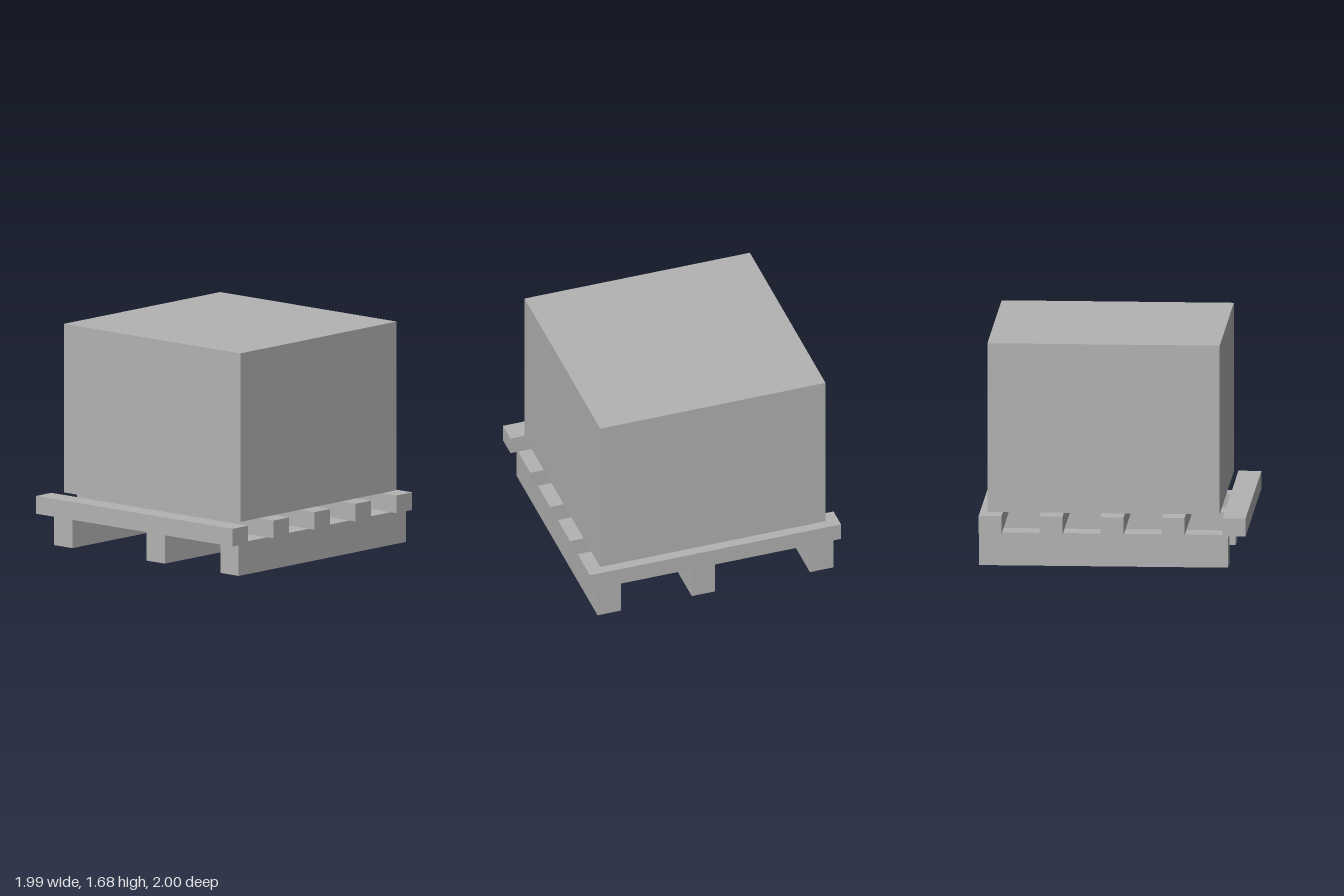
import * as THREE from 'three';

export function createModel() {
  const model = new THREE.Group();
  model.name = 'loadedPallet';

  const grey = new THREE.MeshStandardMaterial({ color: 0xb3b3b3 });
  grey.name = 'plain grey';

  // Adds a box given its extents along each axis
  function block(name, [x0, x1], [y0, y1], [z0, z1], parent) {
    const mesh = new THREE.Mesh(new THREE.BoxGeometry(x1 - x0, y1 - y0, z1 - z0), grey);
    mesh.position.set((x0 + x1) / 2, (y0 + y1) / 2, (z0 + z1) / 2);
    mesh.name = name;
    parent.add(mesh);
  }

  const pallet = new THREE.Group();
  pallet.name = 'pallet';
  model.add(pallet);

  // Three runners on the ground; the middle one sits off centre
  for (const x of [-0.932, 0.002, 0.747]) {
    block('runner', [x, x + 0.185], [0, 0.25], [-1, 0.865], pallet);
  }

  // Five evenly spaced deck slats across the runners
  for (let i = -2; i <= 2; i++) {
    const z = i * 0.457;
    block('deckSlat', [-0.993, 0.993], [0.25, 0.385], [z - 0.086, z + 0.086], pallet);
  }

  // Crate, floating just above the deck and set towards the back
  block('crate', [-0.891, 0.891], [0.397, 1.68], [-0.94, 0.80], model);

  return model;
}
